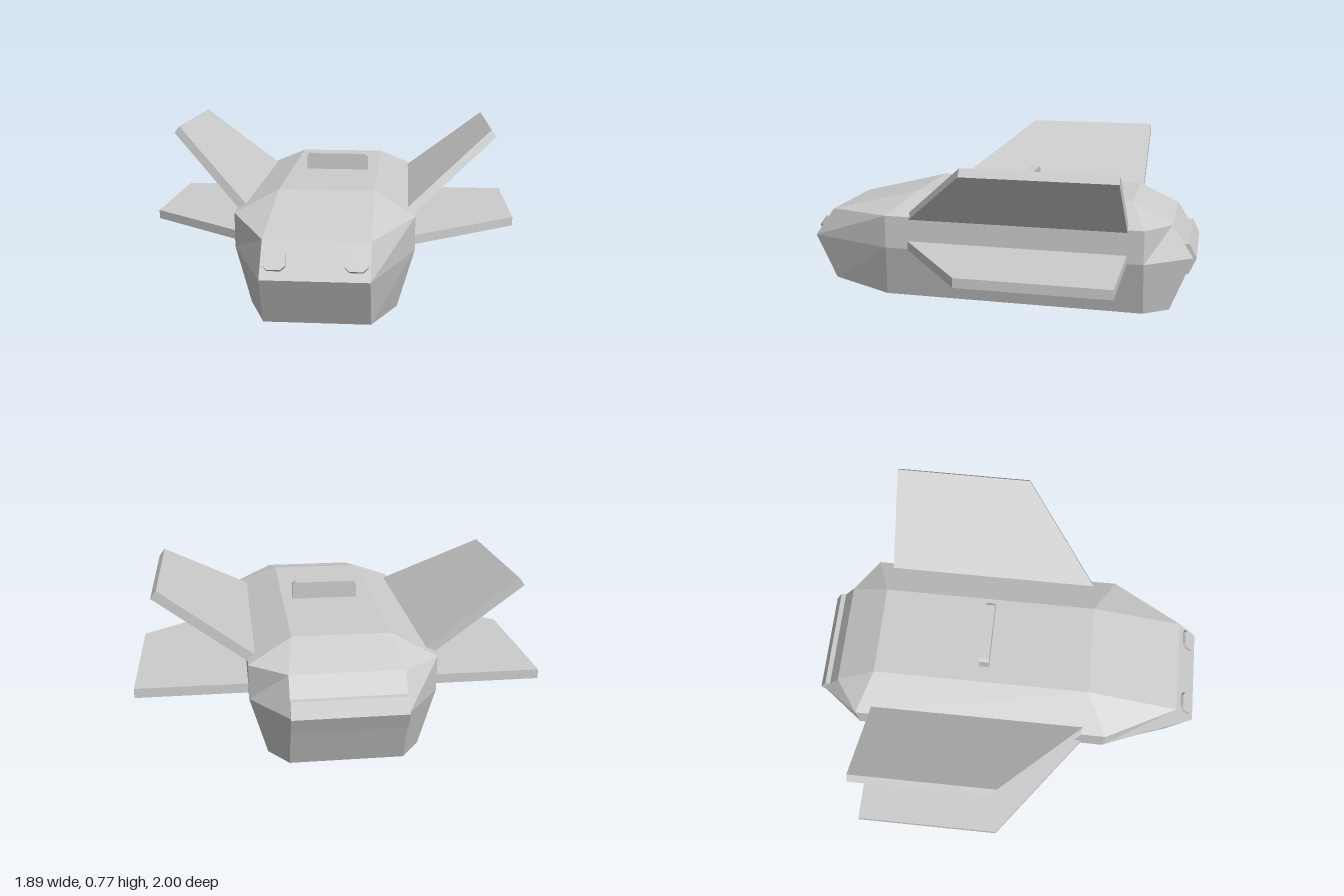
import * as THREE from 'three';

const mat = new THREE.MeshStandardMaterial({ color: 0xcccccc, flatShading: true });

function add(parent, name, geometry) {
  const mesh = new THREE.Mesh(geometry, mat);
  mesh.name = name;
  parent.add(mesh);
  return mesh;
}

// Prism with its outline in the XY plane, centred on z = 0
function prism(points, depth) {
  const shape = new THREE.Shape(points.map(([x, y]) => new THREE.Vector2(x, y)));
  const g = new THREE.ExtrudeGeometry(shape, { depth, bevelEnabled: false });
  return g.translate(0, 0, -depth / 2);
}

// Hull lofted from half sections, each: keel edge, waist, shoulder, roof edge
function hullGeometry() {
  const sections = [
    [[0.24, 0.03, 0.89], [0.24, 0.26, 1], [0.24, 0.41, 0.89], [0.24, 0.41, 0.89]],
    [[0.35, 0, 0.56], [0.43, 0.27, 0.53], [0.43, 0.435, 0.53], [0.23, 0.53, 0.42]],
    [[0.35, 0, -0.76], [0.43, 0.27, -0.76], [0.43, 0.435, -0.76], [0.23, 0.53, -0.68]],
    [[0.26, 0, -0.88], [0.26, 0.27, -0.985], [0.26, 0.43, -0.88], [0.26, 0.43, -0.88]],
  ];
  const pos = [];
  const idx = [];
  const quad = (a, b, c, d) => idx.push(a, b, c, a, c, d);
  for (const s of sections) {
    for (const p of s) pos.push(...p);
    for (const [x, y, z] of [...s].reverse()) pos.push(-x, y, z);
  }
  // Skin between neighbouring sections
  for (let k = 0; k < 3; k++) {
    for (let i = 0; i < 8; i++) {
      const j = (i + 1) % 8;
      quad(k * 8 + i, k * 8 + 8 + i, k * 8 + 8 + j, k * 8 + j);
    }
  }
  // Nose and tail panels
  for (let i = 0; i < 2; i++) {
    quad(i, i + 1, 6 - i, 7 - i);
    quad(24 + i, 24 + 7 - i, 24 + 6 - i, 24 + i + 1);
  }
  const g = new THREE.BufferGeometry();
  g.setAttribute('position', new THREE.Float32BufferAttribute(pos, 3));
  g.setIndex(idx);
  const flat = g.toNonIndexed();
  flat.computeVertexNormals();
  return flat;
}

// Swept wing lying flat, root at x = 0, reaching out to side s
function wingGeometry(s, span, thickness) {
  const outline = [[-0.03, 0.42], [0, 0.42], [span, 0.02], [span, -0.68], [-0.03, -0.68]];
  return prism(outline.map(([x, z]) => [s * x, z]), thickness).rotateX(Math.PI / 2);
}

export function createModel() {
  const model = new THREE.Group();
  model.name = 'shuttle';

  add(model, 'hull', hullGeometry());

  for (const s of [1, -1]) {
    const side = s > 0 ? 'left' : 'right';

    // Flat wing at the waist
    add(model, side + 'LowerWing', wingGeometry(s, 0.525, 0.045)).position.set(s * 0.42, 0.288, 0);

    // Raised wing from the shoulder
    const upper = add(model, side + 'UpperWing', wingGeometry(s, 0.54, 0.044));
    upper.position.set(s * 0.4, 0.427, 0);
    upper.rotation.z = s * 0.647;

    // Headlight on the sloped nose panel
    const lamp = add(model, side + 'Headlight', prism([
      [-0.05, -0.03], [-0.03, -0.05], [0.03, -0.05], [0.05, -0.03],
      [0.05, 0.03], [0.03, 0.05], [-0.03, 0.05], [-0.05, 0.03],
    ], 0.03));
    lamp.position.set(s * 0.178, 0.335, 0.946);
    lamp.rotation.x = -Math.atan2(0.11, 0.15);
  }

  // Small bar on the roof with clipped upper corners
  const bar = add(model, 'roofBar', prism([
    [-0.163, 0.5], [0.163, 0.5], [0.163, 0.6], [0.146, 0.615], [-0.146, 0.615], [-0.163, 0.6],
  ], 0.05));
  bar.position.set(0.015, 0, -0.12);

  // Wedge bumper across the tail, profile in (-z, y)
  add(model, 'rearBumper', prism([
    [0.92, 0.34], [0.965, 0.34], [1, 0.27], [0.965, 0.19], [0.92, 0.19],
  ], 0.52).rotateY(Math.PI / 2));

  return model;
}
